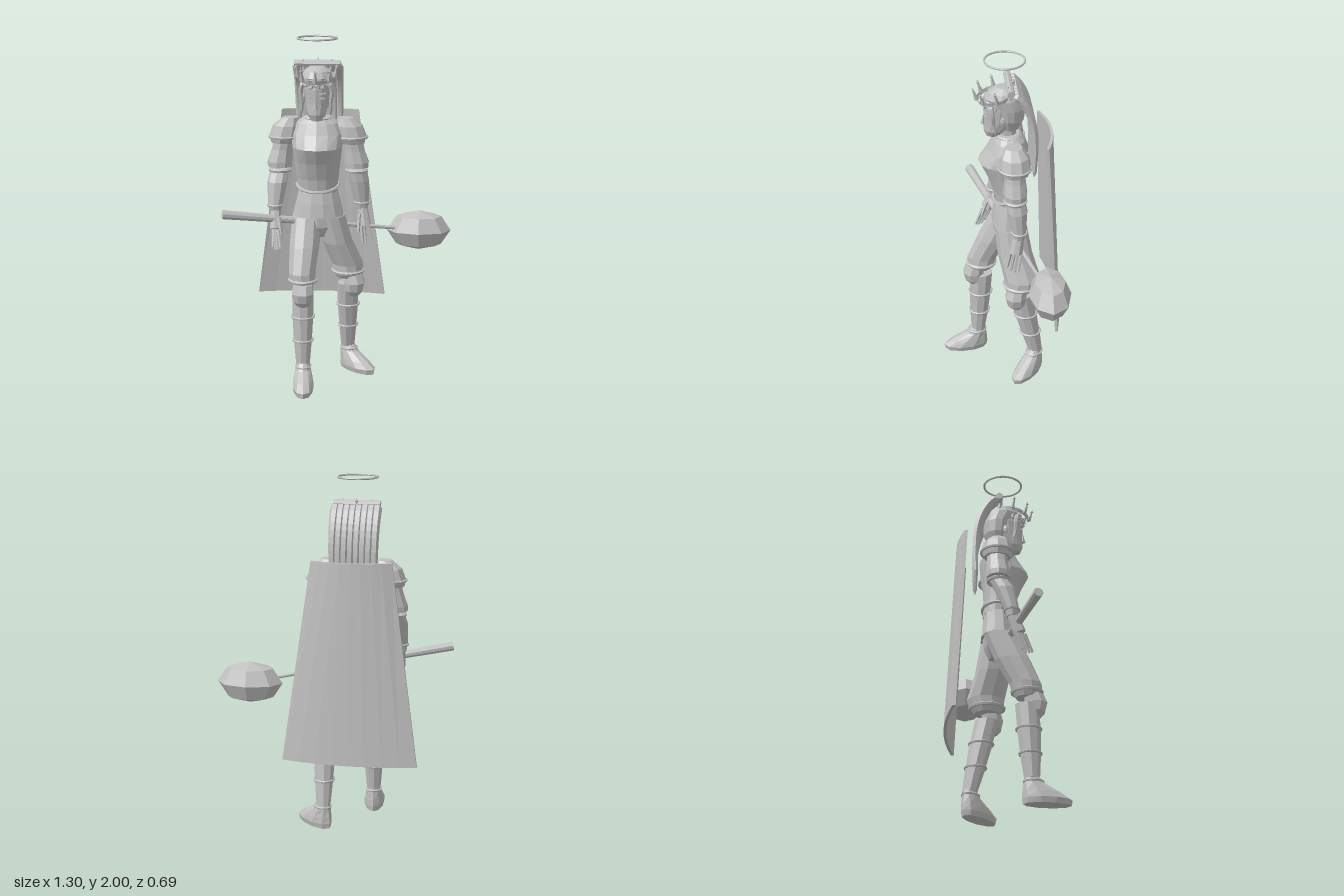
import * as THREE from 'three';

const CX = -0.12; // body midline
const grey = new THREE.MeshStandardMaterial({ color: 0xc0c0c0, flatShading: true, side: THREE.DoubleSide });
grey.name = 'grey';
const V = (x, y, z) => new THREE.Vector3(x, y, z);

function add(parent, name, geo) {
  const m = new THREE.Mesh(geo, grey);
  m.name = name;
  parent.add(m);
  return m;
}

// Closed skin over horizontal elliptic rings, listed bottom to top: [x, y, z, rx, rz]
function loft(rings, n = 10) {
  const pos = [], idx = [], last = rings.length - 1;
  rings.forEach(([x, y, z, rx, rz]) => {
    for (let j = 0; j < n; j++) {
      const a = ((j + 0.5) / n) * Math.PI * 2;
      pos.push(x + Math.cos(a) * rx, y, z + Math.sin(a) * rz);
    }
  });
  for (let i = 0; i < last; i++) for (let j = 0; j < n; j++) {
    const k = (j + 1) % n, a = i * n + j, b = i * n + k;
    idx.push(a, a + n, b, b, a + n, b + n);
  }
  for (let j = 1; j < n - 1; j++) {
    idx.push(0, j, j + 1, last * n, last * n + j + 1, last * n + j);
  }
  const g = new THREE.BufferGeometry();
  g.setAttribute('position', new THREE.Float32BufferAttribute(pos, 3));
  g.setIndex(idx);
  g.computeVertexNormals();
  return g;
}

// Tapered rod between two points
function rod(parent, name, a, b, ra, rb, n = 6) {
  const d = b.clone().sub(a);
  const m = add(parent, name, new THREE.CylinderGeometry(rb, ra, d.length(), n));
  m.position.copy(a).addScaledVector(d, 0.5);
  m.quaternion.setFromUnitVectors(V(0, 1, 0), d.normalize());
  return m;
}

// Tube along points whose radius follows a rule; ends close to a point
function strand(parent, name, pts, radius, seg = 14) {
  const curve = new THREE.CatmullRomCurve3(pts);
  const g = new THREE.TubeGeometry(curve, seg, 1, 6);
  const p = g.attributes.position, v = new THREE.Vector3();
  for (let i = 0; i < p.count; i++) {
    const t = Math.floor(i / 7) / seg, c = curve.getPointAt(t);
    v.fromBufferAttribute(p, i).sub(c).multiplyScalar(t === 0 || t === 1 ? 0.001 : radius(t)).add(c);
    p.setXYZ(i, v.x, v.y, v.z);
  }
  g.computeVertexNormals();
  return add(parent, name, g);
}

// Raised trim around an ellipse, dipping at the front
function trim(parent, name, x, y, z, rx, rz, r = 0.008, dip = 0) {
  const pts = [];
  for (let i = 0; i < 16; i++) {
    const a = (i / 16) * Math.PI * 2;
    pts.push(V(x + Math.cos(a) * rx, y - dip * Math.max(0, Math.sin(a)), z + Math.sin(a) * rz));
  }
  add(parent, name, new THREE.TubeGeometry(new THREE.CatmullRomCurve3(pts, true), 24, r, 5, true));
}

function buildTorso(g) {
  add(g, 'breastplate', loft([
    [CX, 1.12, -0.055, 0.113, 0.083], [CX, 1.2, -0.045, 0.12, 0.088], [CX, 1.3, -0.03, 0.132, 0.11],
    [CX, 1.385, -0.015, 0.142, 0.138], [CX, 1.46, -0.045, 0.15, 0.115], [CX, 1.52, -0.05, 0.125, 0.09],
    [CX, 1.555, -0.045, 0.075, 0.065]], 14));
  trim(g, 'breastplateHem', CX, 1.165, -0.05, 0.12, 0.09, 0.009, 0.035);
  trim(g, 'collar', CX, 1.545, -0.045, 0.078, 0.068);
  add(g, 'tunic', loft([[CX, 0.98, -0.05, 0.15, 0.1], [CX, 1.06, -0.05, 0.13, 0.09], [CX, 1.14, -0.055, 0.11, 0.08]], 12));
  add(g, 'pelvis', loft([[CX, 0.86, -0.045, 0.05, 0.06], [CX, 0.92, -0.045, 0.11, 0.085], [CX, 1.0, -0.05, 0.138, 0.09]], 10));
  add(g, 'neck', loft([[CX, 1.5, -0.05, 0.05, 0.05], [CX, 1.62, -0.035, 0.045, 0.05]], 8));
}

function buildHead(g) {
  add(g, 'head', loft([
    [CX, 1.545, 0.04, 0.03, 0.038], [CX, 1.58, 0.025, 0.052, 0.066], [CX, 1.64, -0.01, 0.066, 0.1],
    [CX, 1.72, -0.02, 0.076, 0.112], [CX, 1.78, -0.02, 0.075, 0.105], [CX, 1.825, -0.03, 0.045, 0.065]], 14));
  add(g, 'hairCap', loft([
    [CX, 1.585, -0.055, 0.05, 0.05], [CX, 1.65, -0.055, 0.08, 0.08], [CX, 1.72, -0.05, 0.09, 0.09],
    [CX, 1.78, -0.025, 0.09, 0.11], [CX, 1.815, -0.025, 0.075, 0.09], [CX, 1.84, -0.03, 0.04, 0.05]], 14));
  const nose = add(g, 'nose', new THREE.ConeGeometry(0.015, 0.06, 4));
  nose.position.set(CX, 1.645, 0.093);
  for (const s of [-1, 1]) {
    const eye = add(g, 'eye', new THREE.BoxGeometry(0.032, 0.01, 0.008));
    eye.position.set(CX + s * 0.034, 1.675, 0.082);
    const brow = add(g, 'brow', new THREE.BoxGeometry(0.045, 0.008, 0.009));
    brow.position.set(CX + s * 0.034, 1.7, 0.083);
    brow.rotation.z = s * 0.15;
    const ear = add(g, 'ear', new THREE.SphereGeometry(0.022, 6, 4));
    ear.scale.set(0.4, 1.2, 0.8);
    ear.position.set(CX + s * 0.076, 1.66, -0.01);
    strand(g, 'sideLock', [V(CX + s * 0.07, 1.77, 0.06), V(CX + s * 0.087, 1.71, 0.05),
      V(CX + s * 0.08, 1.65, 0.045), V(CX + s * 0.083, 1.58, 0.03)], t => 0.016 - 0.008 * t, 8);
  }
  // Curled fringe
  for (let i = 0; i < 7; i++) {
    const a = (i / 6 - 0.5) * 2.2;
    const curl = add(g, 'fringeCurl', new THREE.TorusGeometry(0.014, 0.008, 5, 7));
    curl.position.set(CX + Math.sin(a) * 0.084, 1.745 + (i % 2) * 0.012, -0.005 + Math.cos(a) * 0.1);
    curl.rotation.y = a;
  }
  // Tall swept-back ponytail of parallel strands
  const path = [[1.845, -0.045], [1.825, -0.085], [1.75, -0.14], [1.64, -0.175], [1.5, -0.185], [1.325, -0.18]];
  for (let i = 0; i < 8; i++) {
    const x = CX + (i - 3.5) * 0.0335;
    strand(g, 'ponytailStrand', path.map(([y, z]) => V(x, y, z)), t => 0.027 - 0.014 * t, 16);
  }
  rod(g, 'hairRoll', V(CX - 0.13, 1.85, -0.05), V(CX + 0.13, 1.85, -0.05), 0.021, 0.021, 8);
}

function buildCrown(g) {
  const crown = new THREE.Group();
  crown.name = 'crown';
  crown.position.set(CX, 1.785, 0.025);
  crown.rotation.x = 0.2;
  add(crown, 'crownBand', new THREE.CylinderGeometry(0.104, 0.1, 0.022, 16, 1, true));
  for (let i = 0; i < 8; i++) {
    const a = (i / 8) * Math.PI * 2, at = (r, y) => V(Math.sin(a) * r, y, Math.cos(a) * r);
    rod(crown, 'crownSpike', at(0.103, 0), at(0.114, 0.075), 0.014, 0.002, 4);
    const gem = add(crown, 'crownGem', new THREE.OctahedronGeometry(0.01));
    gem.position.copy(at(0.112, 0.06));
  }
  g.add(crown);
  const halo = add(g, 'halo', new THREE.TorusGeometry(0.11, 0.006, 6, 32));
  halo.rotation.x = Math.PI / 2;
  halo.position.set(CX, 1.994, -0.025);
}

function buildArm(g, s, elbow, wrist, tip) {
  const x = CX + s * 0.19;
  add(g, 'pauldron', loft([
    [x + s * 0.01, 1.4, -0.065, 0.068, 0.075], [x, 1.44, -0.065, 0.088, 0.09],
    [x - s * 0.015, 1.5, -0.065, 0.08, 0.08], [x - s * 0.035, 1.545, -0.06, 0.045, 0.05]], 9));
  trim(g, 'pauldronTrim', x, 1.435, -0.065, 0.088, 0.09);
  const [ex, ey, ez] = elbow, [wx, wy, wz] = wrist;
  add(g, 'sleeve', loft([
    [ex, ey + 0.01, ez, 0.07, 0.066], [ex, ey + 0.04, ez, 0.072, 0.068],
    [x + s * 0.015, 1.36, -0.065, 0.06, 0.06], [x, 1.44, -0.065, 0.055, 0.058]], 9));
  trim(g, 'elbowBand', ex, ey - 0.01, ez, 0.056, 0.056, 0.011);
  add(g, 'bracer', loft([
    [wx, wy - 0.02, wz, 0.034, 0.03], [wx, wy + 0.02, wz, 0.042, 0.04],
    [(ex + wx) / 2, (ey + wy) / 2 + 0.04, (ez + wz) / 2, 0.058, 0.058], [ex, ey, ez, 0.053, 0.053]], 9));
  trim(g, 'bracerCuff', wx, wy + 0.02, wz, 0.043, 0.041, 0.007);
  // Hand
  const W = V(...wrist), T = V(...tip), palm = W.clone().lerp(T, 0.48);
  rod(g, 'palm', W, palm, 0.03, 0.037, 7);
  for (let i = 0; i < 4; i++) {
    const o = (i - 1.5) * 0.019;
    const a = palm.clone().add(V(-s * o * 0.6, 0, o)), b = T.clone().add(V(-s * o * 0.9, Math.abs(i - 1.3) * 0.012, o));
    rod(g, 'finger', a, b, 0.012, 0.007, 5);
  }
  rod(g, 'thumb', W.clone().lerp(T, 0.2).add(V(-s * 0.02, 0, 0.02)), palm.clone().add(V(-s * 0.035, -0.035, 0.035)), 0.014, 0.008, 5);
}

function buildLeg(g, hip, mid, knee, ankle, yaw, w) {
  const [kx, ky, kz] = knee, [ax, , az] = ankle;
  add(g, 'breeches', loft([
    [kx, 0.6, kz, 0.062 * w, 0.064 * w], [kx, 0.635, kz, 0.078 * w, 0.085 * w], [kx - 0.004, 0.68, kz - 0.008, 0.08 * w, 0.092 * w],
    [...mid, 0.088, 0.1], [...hip, 0.085, 0.092]], 10));
  trim(g, 'kneeBand', kx, 0.635, kz, 0.076 * w, 0.084 * w, 0.011);
  const fx = Math.sin(yaw), fz = Math.cos(yaw);
  add(g, 'kneeGuard', loft([
    [kx + fx * 0.04, 0.49, kz + fz * 0.04, 0.035, 0.035], [kx + fx * 0.045, 0.52, kz + fz * 0.045, 0.056, 0.056],
    [kx + fx * 0.05, 0.57, kz + fz * 0.05, 0.064, 0.064], [kx + fx * 0.035, 0.62, kz + fz * 0.035, 0.058, 0.058]], 8));
  // Greave in three overlapping plates
  const at = t => [kx + (ax - kx) * t, ky + (0.14 - ky) * t, kz + (az - kz) * t];
  const R = [0.062, 0.061, 0.053, 0.041];
  for (let i = 0; i < 3; i++) {
    const a = at((i + 1) / 3), b = at(i / 3);
    add(g, 'greavePlate', loft([[...a, R[i + 1], R[i + 1] * 1.05], [...b, R[i], R[i] * 1.08]], 9));
    if (i < 2) trim(g, 'greaveRim', ...a, R[i + 1] + 0.003, R[i + 1] * 1.05 + 0.003, 0.007);
  }
  // Armoured shoe with pointed toe
  const foot = new THREE.Group();
  foot.name = 'foot';
  foot.position.set(ax, 0, az);
  foot.rotation.y = yaw;
  add(foot, 'shoe', loft([
    [0, 0, 0.08, 0.054, 0.13], [0, 0.03, 0.08, 0.062, 0.135], [0, 0.065, 0.055, 0.056, 0.108],
    [0, 0.11, 0.015, 0.045, 0.062], [0, 0.15, 0, 0.036, 0.042]], 10));
  trim(foot, 'ankleBand', 0, 0.125, 0.008, 0.042, 0.052, 0.007);
  g.add(foot);
}

function buildMace(g) {
  const a = V(-0.645, 1.02, 0.14), b = V(0.458, 0.853, -0.22), p = t => a.clone().lerp(b, t);
  rod(g, 'maceGrip', p(0), p(0.38), 0.027, 0.02, 10);
  rod(g, 'maceShaft', p(0.38), p(0.95), 0.015, 0.009, 8);
  const head = add(g, 'maceHead', new THREE.SphereGeometry(1, 8, 4));
  head.scale.set(0.187, 0.118, 0.119);
  head.position.copy(b);
}

// Curved cape board, wider at the foot
function buildCape(g) {
  const geo = new THREE.BoxGeometry(1, 1, 1, 8, 1, 1), p = geo.attributes.position;
  for (let i = 0; i < p.count; i++) {
    const u = p.getX(i), t = p.getY(i) + 0.5, w = p.getZ(i);
    p.setXYZ(i, CX + u * (0.76 - 0.315 * t), 0.43 + 1.13 * t, -0.337 + 0.052 * t + 0.045 * 4 * u * u + w * 0.016);
  }
  geo.computeVertexNormals();
  add(g, 'cape', geo);
}

export function createModel() {
  const g = new THREE.Group();
  g.name = 'armouredKnight';
  buildTorso(g);
  buildHead(g);
  buildCrown(g);
  buildArm(g, -1, [-0.338, 1.25, -0.06], [-0.36, 1.03, 0.015], [-0.345, 0.8, 0.1]);
  buildArm(g, 1, [0.1, 1.25, -0.065], [0.13, 1.03, -0.085], [0.165, 0.8, -0.045]);
  buildLeg(g, [-0.185, 0.98, -0.04], [-0.192, 0.82, 0.03], [-0.197, 0.56, 0.105], [-0.197, 0.14, 0.128], 0.08, 0.97);
  buildLeg(g, [-0.05, 0.98, -0.055], [-0.01, 0.82, -0.075], [0.05, 0.56, -0.105], [0.045, 0.14, -0.195], 0.85, 1.15);
  buildMace(g);
  buildCape(g);
  return g;
}
